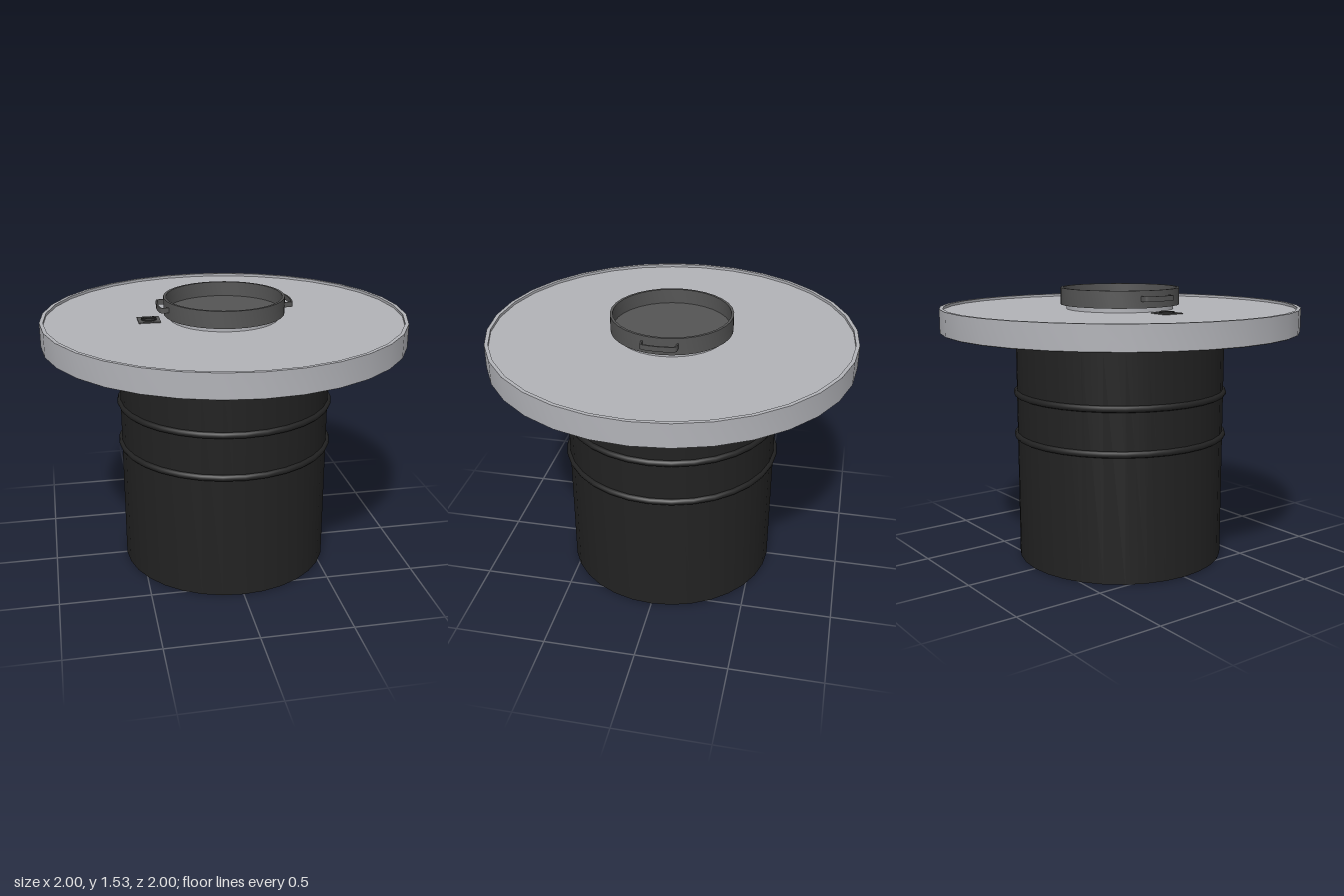
import * as THREE from 'three';
import { toCreasedNormals } from 'three/addons/utils/BufferGeometryUtils.js';

const SIDES = 32;
const paint = (color) => new THREE.MeshStandardMaterial({ color });

export function createModel() {
  const group = new THREE.Group();
  const black = paint(0x222222);
  const silver = paint(0xb2b3b8);
  const dark = paint(0x555555);
  const darker = paint(0x333333);

  const add = (name, geometry, material, x = 0, y = 0, z = 0) => {
    const mesh = new THREE.Mesh(geometry, material);
    mesh.name = name;
    mesh.position.set(x, y, z);
    group.add(mesh);
    return mesh;
  };
  // Turned part from [radius, height] pairs, with crisp edges
  const turned = (name, profile, material) => add(name, toCreasedNormals(
    new THREE.LatheGeometry(profile.map(([r, y]) => new THREE.Vector2(r, y)), SIDES), 0.5), material);

  // Drum body with two rolled hoops
  turned('drum', [[0, 0], [0.587, 0], [0.587, 1.265], [0, 1.265]], black);
  for (const y of [0.71, 0.95]) {
    add('drumHoop', new THREE.TorusGeometry(0.587, 0.018, 8, SIDES).rotateX(Math.PI / 2), black, 0, y);
  }
  turned('collar', [[0, 1.265], [0.59, 1.265], [0.59, 1.28], [0, 1.28]], silver);

  // Round table top: shallow dished underside, recessed top with a thin lip
  turned('tableUnderside', [[0.58, 1.275], [0.995, 1.297], [1, 1.3]], dark);
  turned('tableTop', [[1, 1.3], [1, 1.43], [0.98, 1.43], [0.98, 1.415], [0, 1.415]], silver);

  // Open pan-shaped lid on its neck
  turned('lidNeck', [[0.3, 1.41], [0.3, 1.44]], silver);
  turned('lid', [[0, 1.44], [0.332, 1.44], [0.332, 1.533], [0.318, 1.533], [0.318, 1.452], [0, 1.452]], dark);

  // Strap handles on both sides of the lid
  const strap = new THREE.Shape();
  strap.moveTo(0.31, -0.097);
  strap.lineTo(0.345, -0.097);
  strap.quadraticCurveTo(0.363, -0.097, 0.366, -0.075);
  strap.quadraticCurveTo(0.378, 0, 0.366, 0.075);
  strap.quadraticCurveTo(0.363, 0.097, 0.345, 0.097);
  strap.lineTo(0.31, 0.097);
  strap.lineTo(0.31, 0.089);
  strap.lineTo(0.345, 0.089);
  strap.quadraticCurveTo(0.355, 0.089, 0.358, 0.073);
  strap.quadraticCurveTo(0.37, 0, 0.358, -0.073);
  strap.quadraticCurveTo(0.355, -0.089, 0.345, -0.089);
  strap.lineTo(0.31, -0.089);
  const strapGeometry = new THREE.ExtrudeGeometry(strap, { depth: 0.028, bevelEnabled: false, curveSegments: 5 })
    .rotateX(-Math.PI / 2);
  for (const turn of [0, Math.PI]) {
    add('lidHandle', strapGeometry, dark, 0, 1.476).rotation.y = turn;
  }

  // Control knob on a square plate
  add('knobPlate', new THREE.BoxGeometry(0.12, 0.01, 0.12), dark, -0.415, 1.415);
  add('knob', new THREE.CylinderGeometry(0.042, 0.042, 0.012, 20), darker, -0.415, 1.42);
  add('knobGrip', new THREE.BoxGeometry(0.08, 0.008, 0.012), darker, -0.415, 1.425);

  return group;
}
